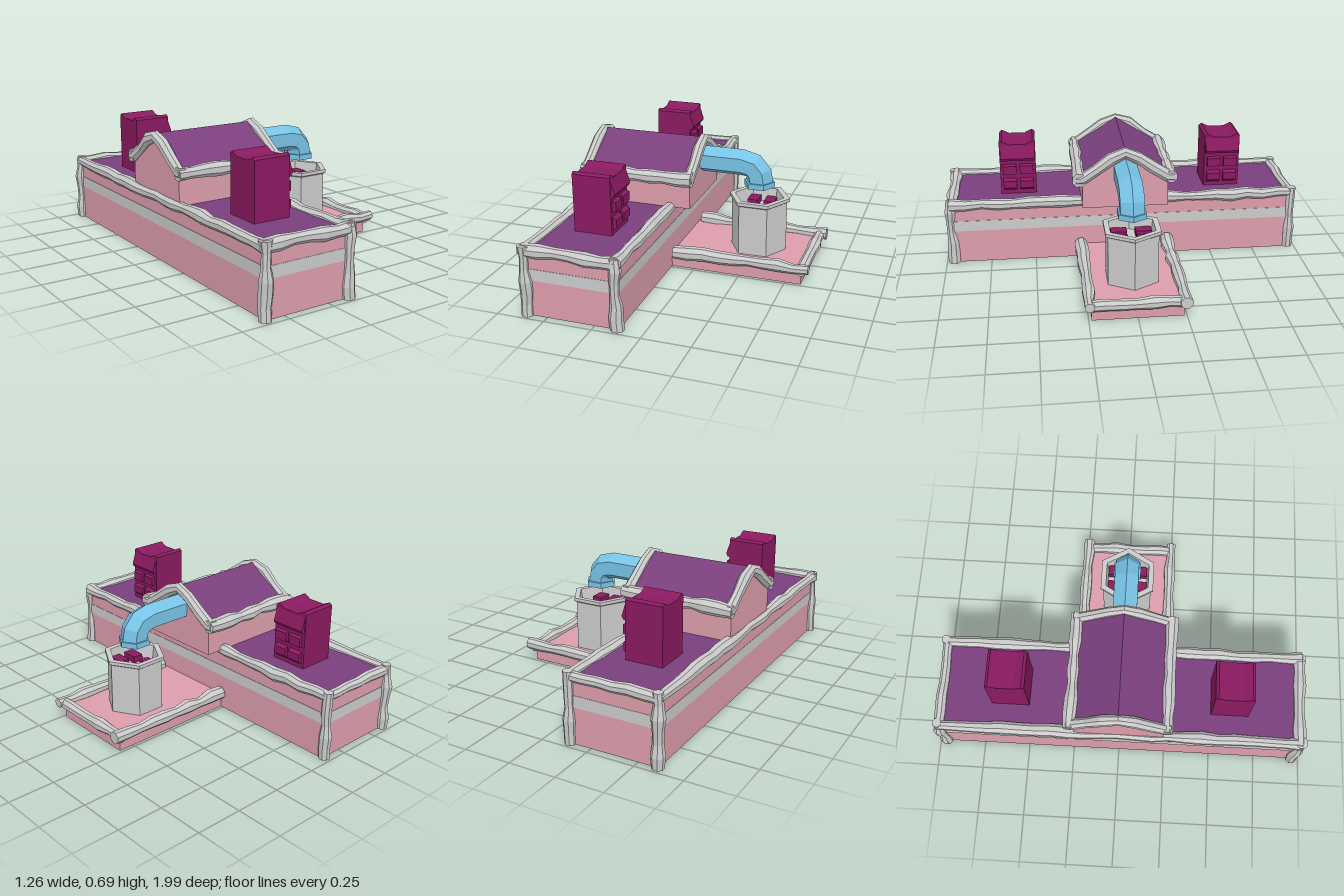
import * as THREE from 'three';

const mat = (color) => new THREE.MeshStandardMaterial({ color, flatShading: true });
const V = (x, y, z) => new THREE.Vector3(x, y, z);

// small seeded generator for the rough hewn trim
let seed = 7;
const rnd = () => {
  seed = (seed * 16807) % 2147483647;
  return seed / 2147483647 - 0.5;
};

// skin a list of equal rings, closed at both ends
function loft(rings) {
  const n = rings[0].length;
  const pos = [];
  const tri = (...p) => p.forEach((v) => pos.push(v.x, v.y, v.z));
  for (let j = 0; j < rings.length - 1; j++) {
    const a = rings[j], b = rings[j + 1];
    for (let i = 0; i < n; i++) {
      const k = (i + 1) % n;
      tri(a[i], a[k], b[k]);
      tri(a[i], b[k], b[i]);
    }
  }
  const first = rings[0], last = rings[rings.length - 1];
  for (let i = 1; i < n - 1; i++) {
    tri(first[0], first[i + 1], first[i]);
    tri(last[0], last[i], last[i + 1]);
  }
  const g = new THREE.BufferGeometry();
  g.setAttribute('position', new THREE.Float32BufferAttribute(pos, 3));
  g.computeVertexNormals();
  return g;
}

// sweep a polygon along a path lying in the plane with the given normal
function sweep(path, normal, rs, ru, sides, phase = 0, rough = 0) {
  return loft(path.map((p, j) => {
    const t = path[Math.min(j + 1, path.length - 1)].clone().sub(path[Math.max(j - 1, 0)]).normalize();
    const u = t.clone().cross(normal);
    const scale = 1 + rnd() * rough;
    const ds = rnd() * rough * 0.014, du = rnd() * rough * 0.02;
    return Array.from({ length: sides }, (_, i) => {
      const a = phase + (i / sides) * Math.PI * 2;
      return p.clone()
        .addScaledVector(normal, Math.cos(a) * rs * scale + ds)
        .addScaledVector(u, Math.sin(a) * ru * scale + du);
    });
  }));
}

// prism with a (z, y) outline running from x0 to x1
function prismX(points, x0, x1) {
  const shape = new THREE.Shape(points.map(([z, y]) => new THREE.Vector2(-z, y)));
  const g = new THREE.ExtrudeGeometry(shape, { depth: x1 - x0, bevelEnabled: false });
  return g.rotateY(Math.PI / 2).translate(x0, 0, 0);
}

export function createModel() {
  const root = new THREE.Group();
  const pink = mat(0xdc9dac), purple = mat(0x7b3f7d), magenta = mat(0x8a1a60);
  const blue = mat(0x78c3e6), grey = mat(0xcccccc);

  const add = (name, geo, material, parent = root) => {
    const m = new THREE.Mesh(geo, material);
    m.name = name;
    parent.add(m);
    return m;
  };
  const box = (name, x0, x1, y0, y1, z0, z1, material, parent) =>
    add(name, new THREE.BoxGeometry(x1 - x0, y1 - y0, z1 - z0)
      .translate((x0 + x1) / 2, (y0 + y1) / 2, (z0 + z1) / 2), material, parent);
  const beam = (name, a, b, r = 0.033, steps = 8) => {
    const path = Array.from({ length: steps + 1 }, (_, i) => a.clone().lerp(b, i / steps));
    const normal = Math.abs(b.y - a.y) > 0.1 ? V(1, 0, 0)
      : b.clone().sub(a).normalize().cross(V(0, 1, 0)).normalize();
    return add(name, sweep(path, normal, r, r, 8, Math.PI / 8, 0.45), grey);
  };

  // long main hall
  box('mainWalls', -0.605, -0.125, 0, 0.335, -0.96, 0.96, pink);
  box('wallStripe', -0.607, -0.123, 0.19, 0.25, -0.962, 0.962, grey);
  box('mainRoof', -0.6, -0.13, 0.33, 0.345, -0.955, 0.955, purple);
  for (const x of [-0.602, -0.135]) {
    beam('roofEdgeTrim', V(x, 0.342, -0.965), V(x, 0.342, 0.965), 0.031, 22);
    for (const z of [-0.96, 0.96]) beam('cornerPost', V(x, 0, z), V(x, 0.37, z), 0.03, 6);
  }
  for (const z of [-0.952, 0.952]) {
    beam('roofEndTrim', V(-0.61, 0.342, z), V(-0.125, 0.342, z), 0.031, 6);
  }

  // gabled upper house across the middle
  box('upperWalls', -0.61, -0.022, 0.345, 0.505, -0.235, 0.235, pink);
  add('gableWalls', prismX([[-0.235, 0.5], [0.235, 0.5], [0, 0.645]], -0.61, -0.022), pink);
  add('gableRoof', prismX([[-0.245, 0.49], [0, 0.64], [0.245, 0.49], [0.25, 0.515], [0, 0.672], [-0.25, 0.515]],
    -0.6, -0.03), purple);
  const slope = [[0.268, 0.515], [0.235, 0.515], [0.16, 0.565], [0.075, 0.627], [0, 0.657]];
  const chevron = [...slope, ...slope.slice(0, -1).reverse().map(([z, y]) => [-z, y])];
  for (const x of [-0.605, -0.025]) {
    add('gableTrim', sweep(chevron.map(([z, y]) => V(x, y, z)), V(1, 0, 0), 0.027, 0.032, 8, Math.PI / 8, 0.3), grey);
  }
  for (const z of [-0.248, 0.248]) {
    beam('eaveTrim', V(-0.625, 0.512, z), V(-0.005, 0.512, z), 0.034, 8);
  }

  // low yard with an edging on three sides
  box('yardFloor', -0.13, 0.585, 0, 0.08, -0.235, 0.235, pink);
  for (const z of [-0.243, 0.243]) {
    beam('yardSideTrim', V(-0.11, 0.092, z), V(0.625, 0.092, z), 0.033, 9);
  }
  beam('yardEndTrim', V(0.588, 0.085, -0.25), V(0.588, 0.085, 0.25), 0.034, 6);

  // two chimney towers with a stepped face towards the yard
  for (const zc of [-0.58, 0.58]) {
    const tower = new THREE.Group();
    tower.name = 'chimneyTower';
    tower.position.z = zc;
    root.add(tower);
    add('towerBody', prismX([[-0.1, 0.34], [0.1, 0.34], [0.1, 0.645], [0.085, 0.657], [0.045, 0.637],
      [-0.045, 0.637], [-0.085, 0.657], [-0.1, 0.645]], -0.47, -0.27), magenta, tower);
    const ledge = (name, pts, width, z) => add(name, new THREE.ExtrudeGeometry(
      new THREE.Shape(pts.map(([x, y]) => new THREE.Vector2(x, y))),
      { depth: width, bevelEnabled: false }).translate(0, 0, z - width / 2), magenta, tower);
    ledge('towerBrow', [[-0.28, 0.54], [-0.257, 0.545], [-0.248, 0.56], [-0.27, 0.63], [-0.28, 0.63]], 0.19, 0);
    for (const z of [-0.047, 0.047]) {
      ledge('upperPanel', [[-0.28, 0.46], [-0.25, 0.468], [-0.25, 0.515], [-0.28, 0.525]], 0.075, z);
      ledge('lowerPanel', [[-0.28, 0.36], [-0.25, 0.385], [-0.25, 0.425], [-0.28, 0.445]], 0.075, z);
    }
  }

  // six-sided vat
  const vat = new THREE.Group();
  vat.name = 'vat';
  vat.position.x = 0.293;
  root.add(vat);
  const profile = [[0.153, 0.075], [0.153, 0.35], [0.167, 0.358], [0.167, 0.376], [0.135, 0.376], [0.125, 0.3], [0, 0.3]];
  add('vatBody', new THREE.LatheGeometry(profile.map(([r, y]) => new THREE.Vector2(r, y)), 6)
    .rotateY(Math.PI / 6), grey, vat);
  for (const x of [-0.045, 0.045]) {
    for (const z of [-0.065, 0.065]) {
      box('vatBlock', x - 0.028, x + 0.028, 0.29, 0.335, z - 0.042, z + 0.042, magenta, vat);
    }
  }

  // bent six-sided pipe pouring into the vat
  const bend = [[-0.06, 0.552], [0.2, 0.552], [0.256, 0.538], [0.285, 0.503], [0.294, 0.45], [0.294, 0.432]];
  add('pipe', sweep(bend.map(([x, y]) => V(x, y, 0)), V(0, 0, 1), 0.073, 0.073, 6, Math.PI / 6), blue);
  add('pipeCollar', new THREE.CylinderGeometry(0.084, 0.084, 0.03, 6).rotateY(Math.PI / 6)
    .translate(0.291, 0.445, 0), blue);

  return root;
}
